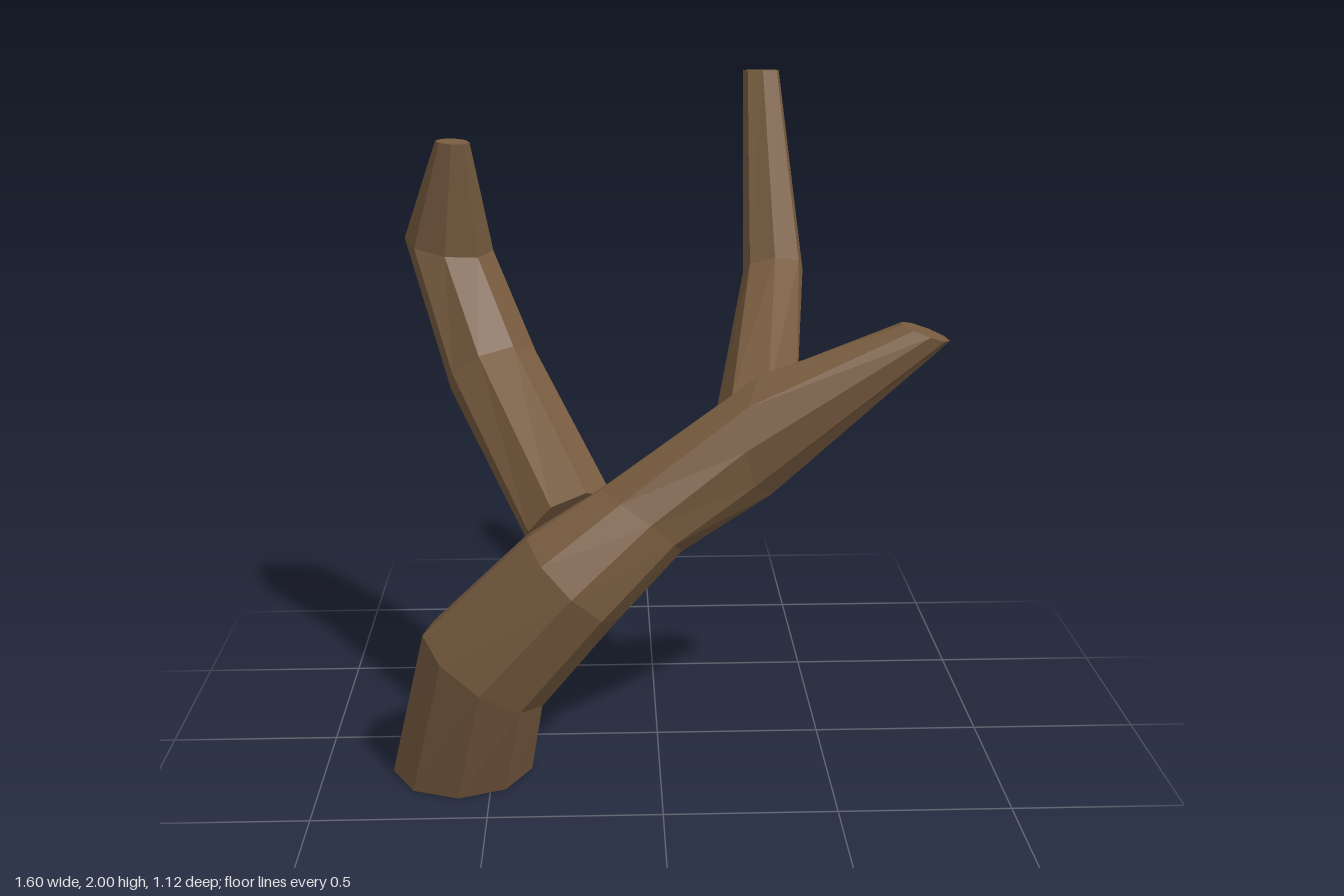
import * as THREE from 'three';

// Loft a closed, faceted limb through rings of [x, y, z, radius, normalX, normalY, normalZ]
function limb(name, sides, rings, material) {
  const points = [];
  const index = [];
  for (const [x, y, z, r, nx, ny, nz] of rings) {
    const n = new THREE.Vector3(nx, ny, nz).normalize();
    const u = new THREE.Vector3(0, 0, 1).addScaledVector(n, -n.z).normalize();
    const v = new THREE.Vector3().crossVectors(n, u);
    for (let j = 0; j < sides; j++) {
      const a = (j / sides) * Math.PI * 2;
      const p = new THREE.Vector3(x, y, z)
        .addScaledVector(u, r * Math.cos(a))
        .addScaledVector(v, r * Math.sin(a));
      points.push(p.x, p.y, p.z);
    }
  }
  // Bark between neighbouring rings
  for (let i = 0; i < rings.length - 1; i++) {
    for (let j = 0; j < sides; j++) {
      const k = (j + 1) % sides;
      const a = i * sides + j, b = i * sides + k;
      index.push(a, b, b + sides, a, b + sides, a + sides);
    }
  }
  // Cut ends
  const last = (rings.length - 1) * sides;
  for (let j = 1; j < sides - 1; j++) {
    index.push(0, j + 1, j, last, last + j, last + j + 1);
  }
  const indexed = new THREE.BufferGeometry();
  indexed.setAttribute('position', new THREE.Float32BufferAttribute(points, 3));
  indexed.setIndex(index);
  const geometry = indexed.toNonIndexed();
  geometry.computeVertexNormals();
  const mesh = new THREE.Mesh(geometry, material);
  mesh.name = name;
  return mesh;
}

export function createModel() {
  const model = new THREE.Group();
  model.name = 'deadTree';
  const bark = new THREE.MeshStandardMaterial({ color: 0x775b3f });
  bark.name = 'brown bark';

  // Leaning trunk that bends over to the left and ends in a blunt tip
  model.add(limb('trunk', 9, [
    [-0.59, 0, 0.18, 0.21, 0, 1, 0],
    [-0.51, 0.385, 0.315, 0.205, 0.56, 0.83, 0],
    [-0.25, 0.685, 0.38, 0.178, 0.7, 0.7, 0],
    [-0.06, 0.83, 0.325, 0.148, 0.62, 0.75, -0.28],
    [0.31, 1.055, 0.235, 0.178, 0.85, 0.1, 0.45],
    [0.735, 1.345, 0.25, 0.072, 0.33, 0.94, 0],
  ], bark));

  // Thick branch sweeping back to the right, then curling upward
  model.add(limb('rightBranch', 8, [
    [-0.25, 0.8, 0.27, 0.14, -0.24, 0.35, -0.44],
    [-0.49, 1.135, -0.165, 0.142, -0.3, 0.65, -0.5],
    [-0.622, 1.495, -0.305, 0.135, 0.15, 0.98, 0.1],
    [-0.59, 1.82, -0.18, 0.05, 0.05, 1, 0.05],
  ], bark));

  // Slender branch reaching back, then rising to the highest tip
  model.add(limb('leftBranch', 7, [
    [0.28, 1.08, 0.18, 0.12, 0.08, 0.34, -0.45],
    [0.362, 1.42, -0.265, 0.094, -0.05, 0.8, -0.5],
    [0.338, 1.994, -0.508, 0.057, 0, 1, -0.05],
  ], bark));

  return model;
}
